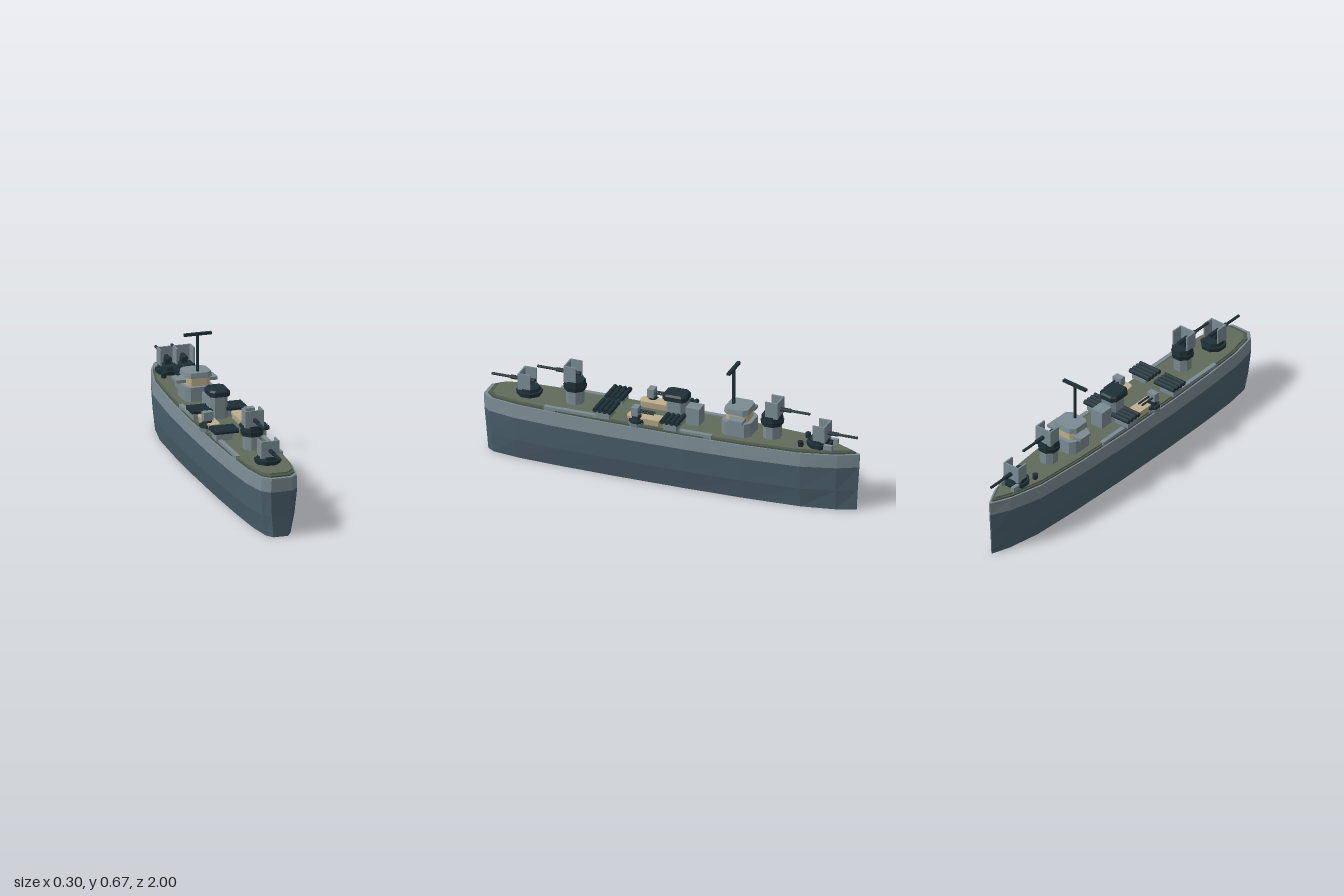
import * as THREE from 'three';

const paint = (name, color) => {
  const m = new THREE.MeshStandardMaterial({ color, flatShading: true });
  m.name = name;
  return m;
};

export function createModel() {
  const ship = new THREE.Group();
  ship.name = 'warship';
  const hullBlue = paint('hullBlue', 0x4c626e);
  const grey = paint('lightGrey', 0x7b8b93);
  const dark = paint('darkSteel', 0x1f3038);
  const olive = paint('deckOlive', 0x5f6b5b);
  const trim = paint('deckEdge', 0x4e594a);
  const beige = paint('beige', 0xbdb08c);

  const add = (name, geo, mat, x = 0, y = 0, z = 0, parent = ship) => {
    const m = new THREE.Mesh(geo, mat);
    m.name = name;
    m.position.set(x, y, z);
    parent.add(m);
    return m;
  };
  const box = (name, mat, w, h, d, x, y, z, parent) =>
    add(name, new THREE.BoxGeometry(w, h, d), mat, x, y, z, parent);
  const drum = (name, mat, rTop, rBottom, y0, y1, x, z, parent, sides = 8) =>
    add(name, new THREE.CylinderGeometry(rTop, rBottom, y1 - y0, sides).rotateY(Math.PI / sides),
      mat, x, (y0 + y1) / 2, z, parent);
  const rod = (name, mat, r, length, x, y, z, axis, parent) => {
    const g = new THREE.CylinderGeometry(r, r, length, 8);
    if (axis === 'x') g.rotateZ(Math.PI / 2); else g.rotateX(Math.PI / 2);
    return add(name, g, mat, x, y, z, parent);
  };

  // Stack of scaled outlines [y, scaleX, scaleZ], closed at both ends
  const loft = (outline, levels) => {
    const pos = [];
    const rings = levels.map(([y, sx, sz]) => outline.map(([x, z]) => [x * sx, y, z * sz]));
    const n = outline.length;
    const last = rings.length - 1;
    const bottom = [0, levels[0][0], 0];
    const top = [0, levels[last][0], 0];
    for (let i = 0; i < n; i++) {
      const j = (i + 1) % n;
      for (let k = 0; k < last; k++) {
        const a = rings[k], b = rings[k + 1];
        pos.push(...a[j], ...a[i], ...b[i], ...a[j], ...b[i], ...b[j]);
      }
      pos.push(...bottom, ...rings[0][i], ...rings[0][j]);
      pos.push(...top, ...rings[last][j], ...rings[last][i]);
    }
    const g = new THREE.BufferGeometry();
    g.setAttribute('position', new THREE.Float32BufferAttribute(pos, 3));
    g.computeVertexNormals();
    return g;
  };
  // Rectangle with cut corners
  const chamfered = (w, d, c) => [
    [w - c, -d], [w, -d + c], [w, d - c], [w - c, d],
    [-w + c, d], [-w, d - c], [-w, -d + c], [-w + c, -d],
  ];

  // Hull: bow at -z, blunt stern at +z
  const half = [[0.004, -1], [0.055, -0.9], [0.105, -0.72], [0.13, -0.42], [0.142, -0.1],
    [0.145, 0.3], [0.138, 0.6], [0.124, 0.82], [0.096, 0.96], [0.055, 1]];
  const plan = [...half, ...half.slice().reverse().map(([x, z]) => [-x, z])];
  add('lowerHull', loft(plan, [[0, 0.67, 0.982], [0.11, 0.88, 0.987], [0.24, 1, 0.996]]), hullBlue);
  add('upperHull', loft(plan, [[0.24, 1, 0.996], [0.312, 0.955, 1]]), grey);
  add('deckEdge', loft(plan, [[0.31, 0.9, 0.978], [0.32, 0.9, 0.978]]), trim);
  add('deck', loft(plan, [[0.315, 0.84, 0.955], [0.328, 0.84, 0.955]]), olive);

  // Main guns, built facing +z
  const mainGun = (name, z, raised, facing) => {
    const gun = new THREE.Group();
    gun.name = name;
    gun.position.z = z;
    gun.rotation.y = facing > 0 ? 0 : Math.PI;
    ship.add(gun);
    const y = raised ? 0.448 : 0.362;
    if (raised) {
      drum('pedestal', grey, 0.047, 0.047, 0.325, 0.41, 0, 0, gun);
      drum('gunRing', dark, 0.06, 0.056, 0.4, 0.425, 0, 0, gun);
    } else {
      drum('gunRing', dark, 0.068, 0.064, 0.325, 0.35, 0, 0, gun);
    }
    drum('turntable', dark, 0.053, 0.056, y - 0.025, y + 0.006, 0, 0, gun);
    box('shieldFront', grey, 0.096, 0.088, 0.008, 0, y + 0.044, 0.041, gun);
    for (const s of [1, -1]) {
      box('shieldSide', grey, 0.008, 0.088, 0.062, s * 0.044, y + 0.044, 0.01, gun);
    }
    box('gunCradle', dark, 0.03, 0.03, 0.035, 0, y + 0.018, 0.015, gun);
    rod('breech', dark, 0.011, 0.13, 0, y + 0.039, 0.035, 'z', gun);
    rod('barrel', dark, 0.007, 0.11, 0, y + 0.039, 0.147, 'z', gun);
  };
  mainGun('sternGun', 0.775, false, 1);
  mainGun('raisedSternGun', 0.53, true, 1);
  mainGun('raisedBowGun', -0.53, true, -1);
  mainGun('bowGun', -0.785, false, -1);

  // Bridge with window band, wings and roof
  const bridge = new THREE.Group();
  bridge.name = 'bridge';
  bridge.position.z = -0.355;
  ship.add(bridge);
  add('bridgeBase', loft(chamfered(0.075, 0.078, 0.025), [[0.325, 1, 1], [0.402, 1, 1]]), grey, 0, 0, 0, bridge);
  add('bridgeBand', loft(chamfered(0.06, 0.058, 0.02), [[0.4, 1, 1], [0.45, 1, 1]]), beige, 0, 0, 0, bridge);
  add('bridgeRoof', loft(chamfered(0.072, 0.067, 0.025), [[0.445, 1, 1], [0.472, 0.94, 0.94]]), grey, 0, 0, 0, bridge);
  for (const s of [1, -1]) {
    box('bridgeWing', grey, 0.05, 0.016, 0.08, s * 0.083, 0.423, -0.015, bridge);
  }

  // Mast and yard
  box('mast', dark, 0.012, 0.205, 0.012, 0, 0.57, -0.322);
  box('yard', dark, 0.146, 0.013, 0.018, 0, 0.668, -0.322);

  // Funnel and deckhouse
  add('funnel', loft(chamfered(0.046, 0.052, 0.02), [[0.325, 1, 1], [0.45, 1, 1]]), grey, 0, 0, -0.022);
  add('funnelCap', loft(chamfered(0.053, 0.064, 0.02),
    [[0.447, 1, 1], [0.47, 1, 1], [0.48, 0.85, 0.88]]), dark, 0, 0, -0.016);
  box('deckhouse', grey, 0.07, 0.095, 0.075, 0, 0.372, -0.113);

  for (const s of [1, -1]) {
    // Torpedo tubes lying across the deck
    for (const z of [0.33, -0.03]) {
      box('tubeStand', grey, 0.085, 0.036, 0.07, s * 0.09, 0.344, z);
      for (let i = 0; i < 4; i++) {
        rod('torpedoTube', dark, 0.0125, 0.126, s * 0.08, 0.373, z + (i - 1.5) * 0.026, 'x');
      }
    }
    // Raised platforms beside the funnel
    add('boatPlatform', loft(chamfered(0.033, 0.096, 0.016),
      [[0.325, 0.8, 0.92], [0.362, 1, 1]]), beige, s * 0.088, 0, 0.115);
    // Light twin guns, pointing forward
    const aa = new THREE.Group();
    aa.name = 'lightGun';
    aa.position.set(s * 0.11, 0, 0.155);
    ship.add(aa);
    drum('gunTub', grey, 0.044, 0.04, 0.318, 0.338, 0, 0, aa);
    drum('gunTubRim', dark, 0.04, 0.042, 0.338, 0.352, 0, 0, aa);
    drum('gunPost', dark, 0.022, 0.026, 0.35, 0.375, 0, 0, aa);
    box('gunHousing', grey, 0.05, 0.045, 0.035, 0, 0.396, 0.005, aa);
    for (const t of [1, -1]) {
      rod('lightBarrel', dark, 0.005, 0.09, t * 0.011, 0.396, -0.05, 'z', aa);
    }
    // Deck edge lockers, bollards and winches
    box('edgeStrip', grey, 0.022, 0.02, 0.17, s * 0.113, 0.324, -0.165);
    box('edgeStrip', grey, 0.022, 0.02, 0.28, s * 0.113, 0.324, 0.51);
    drum('bollard', dark, 0.015, 0.013, 0.325, 0.355, s * 0.052, -0.702);
    box('winch', grey, 0.02, 0.026, 0.045, s * 0.04, 0.34, -0.845);
  }
  return ship;
}
